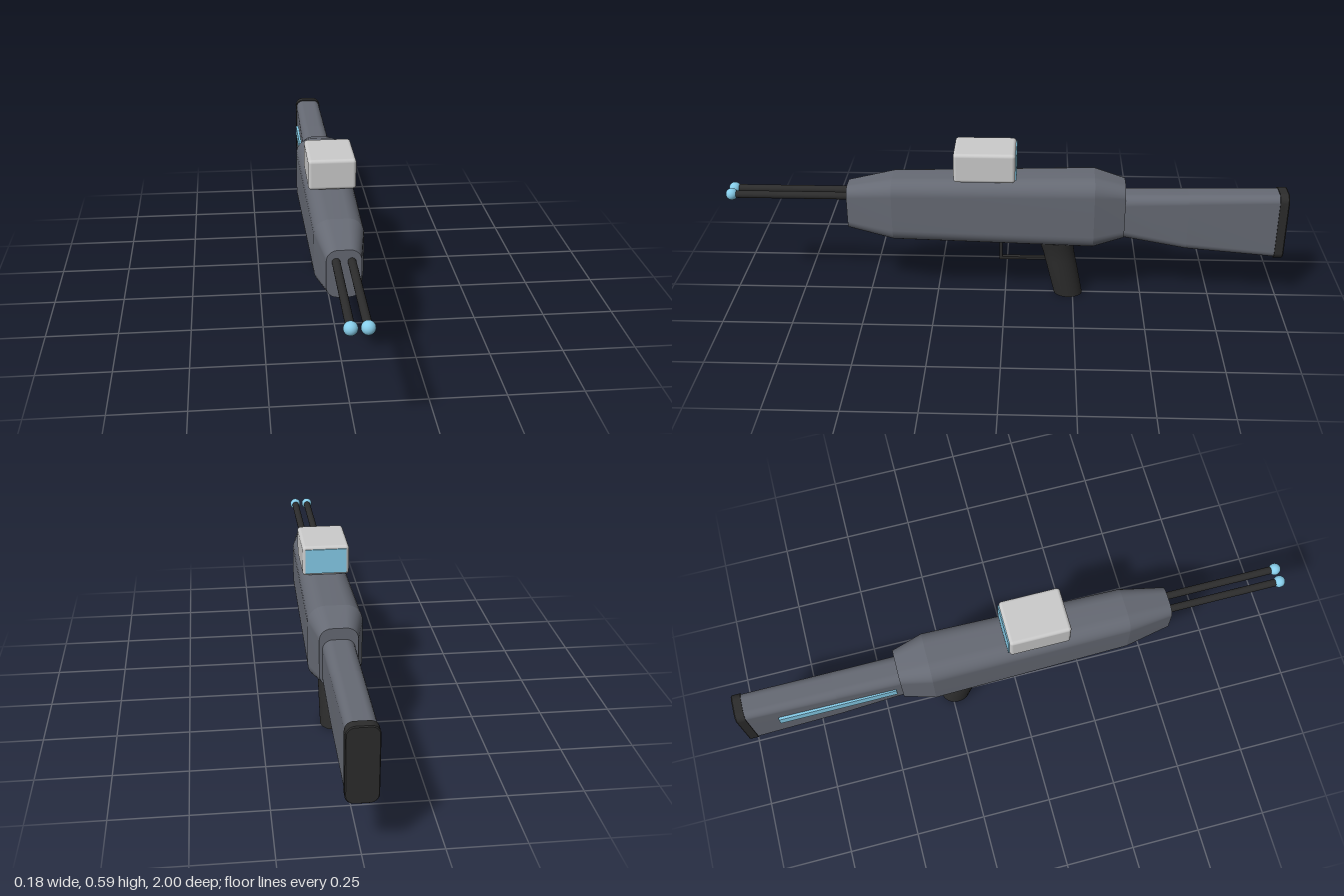
import * as THREE from 'three';
import { mergeGeometries } from 'three/addons/utils/BufferGeometryUtils.js';
import { RoundedBoxGeometry } from 'three/addons/geometries/RoundedBoxGeometry.js';

const material = (color) => new THREE.MeshStandardMaterial({ color });

// Rounded rectangle ring in the xy plane, counterclockwise.
function ring([z, halfWidth, bottom, top, radius]) {
  const points = [], steps = 7;
  const cy = (bottom + top) / 2, halfHeight = (top - bottom) / 2;
  for (let corner = 0; corner < 4; corner++) {
    const sx = corner === 0 || corner === 3 ? 1 : -1;
    const sy = corner < 2 ? 1 : -1;
    for (let i = 0; i <= steps; i++) {
      const a = (corner + i / steps) * Math.PI / 2;
      points.push(new THREE.Vector3(
        sx * (halfWidth - radius) + radius * Math.cos(a),
        cy + sy * (halfHeight - radius) + radius * Math.sin(a), z));
    }
  }
  return points;
}

function indexed(points, index) {
  const g = new THREE.BufferGeometry().setFromPoints(points);
  g.setIndex(index);
  g.computeVertexNormals();
  return g;
}

// Loft through sections ordered from back to front, creased at every section.
function loft(sections) {
  const rings = sections.map(ring), n = rings[0].length, parts = [];
  for (let s = 0; s < rings.length - 1; s++) {
    const index = [];
    for (let j = 0; j < n; j++) {
      const k = (j + 1) % n;
      index.push(j, k, n + k, j, n + k, n + j);
    }
    parts.push(indexed([...rings[s], ...rings[s + 1]], index));
  }
  const back = [], front = [];
  for (let j = 1; j < n - 1; j++) {
    back.push(0, j + 1, j);
    front.push(0, j, j + 1);
  }
  parts.push(indexed(rings[0], back), indexed(rings[rings.length - 1], front));
  return mergeGeometries(parts);
}

export function createModel() {
  const model = new THREE.Group();
  const shell = material(0x666a74), dark = material(0x2c2c2c);
  const grey = material(0xcccccc), blue = material(0x87ceeb);

  function add(name, geometry, mat, x = 0, y = 0, z = 0) {
    const mesh = new THREE.Mesh(geometry, mat);
    mesh.name = name;
    mesh.position.set(x, y, z);
    model.add(mesh);
    return mesh;
  }

  // Main housing: z, half width, bottom, top, corner radius
  add('body', loft([
    [-0.425, 0.064, 0.25, 0.457, 0.04],
    [-0.315, 0.092, 0.22, 0.489, 0.058],
    [0.4, 0.082, 0.236, 0.471, 0.052],
    [0.563, 0.056, 0.273, 0.437, 0.036],
  ]), shell);

  // Shoulder stock and its end pad
  add('stock', loft([
    [-0.97, 0.048, 0.18, 0.427, 0.026],
    [-0.65, 0.051, 0.208, 0.421, 0.03],
    [-0.42, 0.054, 0.251, 0.417, 0.034],
  ]), shell);
  add('buttPad', loft([
    [-1, 0.048, 0.179, 0.428, 0.026],
    [-0.996, 0.051, 0.176, 0.431, 0.029],
    [-0.967, 0.051, 0.176, 0.431, 0.029],
  ]), dark);

  // Glowing strip on one side of the stock
  add('sideStrip', new THREE.BoxGeometry(0.016, 0.038, 0.42), blue, -0.051, 0.33, -0.655);

  // Sight block with a rear screen
  add('sight', new RoundedBoxGeometry(0.164, 0.108, 0.216, 3, 0.012), grey, 0, 0.534, 0.071);
  add('sightScreen', new THREE.BoxGeometry(0.144, 0.088, 0.01), blue, 0, 0.534, -0.036);

  // Twin barrels with round tips
  for (const side of [-1, 1]) {
    const barrel = add('barrel', new THREE.CylinderGeometry(0.0135, 0.0135, 0.45, 20), dark,
      side * 0.025, 0.397, 0.755);
    barrel.rotation.x = Math.PI / 2;
    add('barrelTip', new THREE.SphereGeometry(0.0215, 24, 16), blue, side * 0.025, 0.397, 0.9785);
  }

  // Raked oval grip, widening where it meets the body
  const grip = new THREE.CylinderGeometry(1, 1, 0.25, 32, 10);
  grip.translate(0, 0.125, 0);
  const p = grip.attributes.position;
  for (let i = 0; i < p.count; i++) {
    const y = p.getY(i), flare = Math.max(0, y - 0.17) * 0.12;
    const bulge = 0.004 * Math.sin(Math.min(1, y / 0.2) * Math.PI / 2);
    p.setX(i, p.getX(i) * (0.042 + bulge + flare));
    p.setZ(i, p.getZ(i) * (0.052 + bulge + flare) - 0.233 + 0.22 * y);
  }
  grip.computeVertexNormals();
  // Flat ends keep straight normals
  const normal = grip.attributes.normal;
  for (let i = 33 * 11; i < p.count; i++) normal.setXYZ(i, 0, p.getY(i) > 0.1 ? 1 : -1, 0);
  add('grip', grip, dark);

  // Trigger guard
  add('guardFront', new THREE.BoxGeometry(0.015, 0.11, 0.01), dark, 0, 0.193, 0.016);
  add('guardBottom', new THREE.BoxGeometry(0.015, 0.01, 0.2), dark, 0, 0.143, -0.079);

  return model;
}
